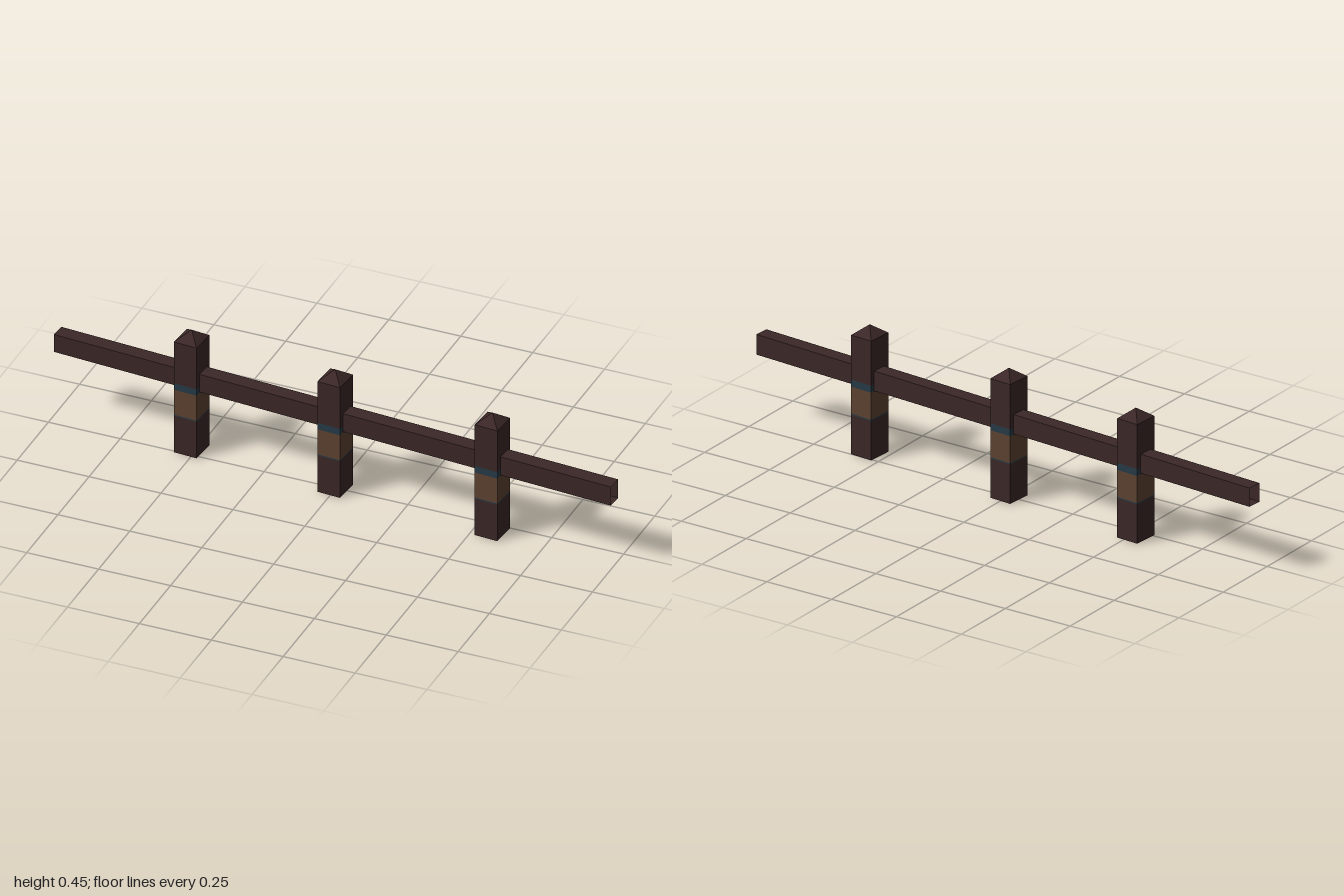
import * as THREE from 'three';

const make = (name, color) => {
  const m = new THREE.MeshStandardMaterial({ color, flatShading: true, side: THREE.DoubleSide });
  m.name = name;
  return m;
};

// Open four-sided tube with a unit square section; top = 0 makes a pyramid
function squareTube(height, top = 1) {
  const r = Math.SQRT1_2;
  return new THREE.CylinderGeometry(r * top, r, height, 4, 1, true).rotateY(Math.PI / 4);
}

export function createModel() {
  const model = new THREE.Group();
  const darkWood = make('dark wood', 0x3b2727);
  const brownWrap = make('brown wrap', 0x5c4231);
  const blueTrim = make('blue trim', 0x263b47);
  const yaw = -0.069;

  // Post sections from the ground up: name, bottom, top, material, top scale
  const sections = [
    ['postBase', 0, 0.137, darkWood, 1],
    ['lowerTrim', 0.137, 0.141, blueTrim, 1],
    ['wrap', 0.141, 0.235, brownWrap, 1],
    ['upperTrim', 0.235, 0.259, blueTrim, 1],
    ['postTop', 0.259, 0.414, darkWood, 1],
    ['postTip', 0.414, 0.447, darkWood, 0],
  ];

  // Three posts set along the slanting rail
  for (const [x, z] of [[-0.517, -0.035], [-0.002, 0.002], [0.562, 0.042]]) {
    const post = new THREE.Group();
    post.name = 'post';
    for (const [name, y0, y1, material, top] of sections) {
      const part = new THREE.Mesh(squareTube(y1 - y0, top), material);
      part.name = name;
      part.scale.set(0.081, 1, 0.089);
      part.position.y = (y0 + y1) / 2;
      post.add(part);
    }
    post.position.set(x, 0, z);
    post.rotation.y = yaw;
    model.add(post);
  }

  // Hollow rail with open ends, slightly deeper at its left end
  const railGeometry = squareTube(2.001).rotateZ(Math.PI / 2).scale(1, 0.068, 0.052);
  const p = railGeometry.attributes.position;
  for (let i = 0; i < p.count; i++) {
    const bottom = p.getX(i) > 0 ? 0.235 : 0.24;
    p.setY(i, p.getY(i) > 0 ? 0.305 : bottom);
  }
  railGeometry.computeVertexNormals();
  const rail = new THREE.Mesh(railGeometry, darkWood);
  rail.name = 'rail';
  rail.rotation.y = yaw;
  model.add(rail);

  return model;
}
